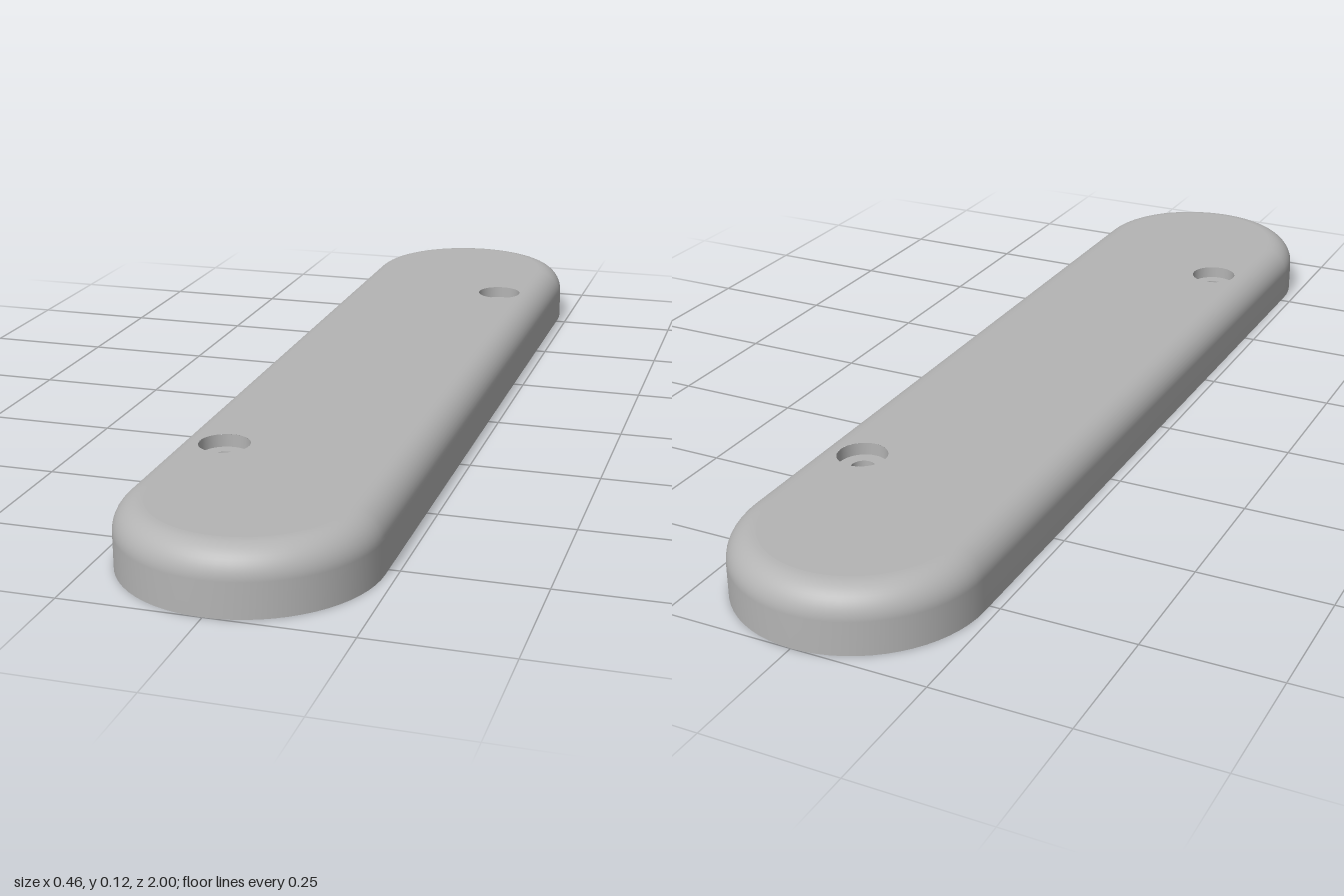
import * as THREE from 'three';
import { toCreasedNormals } from 'three/addons/utils/BufferGeometryUtils.js';

const R = 0.23, HALF = 0.77, TOP = 0.116;     // outer end radius, end centre, height
const FILLET = 0.053, INNER_R = 0.19, CEILING = 0.078, INNER_FILLET = 0.02;
const HOLE = { x: 0.128, z: -0.557, recessR: 0.047, boreR: 0.022, floorY: 0.092 };
const BOSS_Y = 0.04, BOSS_R = 0.06;
const N = 32;                                 // segments per rounded end

// Lathe a profile, then pull its two halves apart along z into a stadium
function stadiumSweep(profile) {
  const cols = 2 * N + 2;
  const geo = new THREE.LatheGeometry(profile, cols);
  const pos = geo.attributes.position, nor = geo.attributes.normal;
  const rows = profile.length;
  for (let i = 0; i <= cols; i++) {
    const phi = (i / cols) * Math.PI * 2;
    const k = i % cols, front = k <= N;
    const a = front ? -Math.PI / 2 + (Math.PI * k) / N : Math.PI / 2 + (Math.PI * (k - N - 1)) / N;
    for (let j = 0; j < rows; j++) {
      const v = i * rows + j, r = profile[j].x;
      const nr = nor.getX(v) * Math.sin(phi) + nor.getZ(v) * Math.cos(phi);
      pos.setXYZ(v, r * Math.sin(a), profile[j].y, r * Math.cos(a) + (front ? HALF : -HALF));
      nor.setXYZ(v, nr * Math.sin(a), nor.getY(v), nr * Math.cos(a));
    }
  }
  return geo;
}

// Flat stadium outline with a round hole for each screw; flip = -1 when shape y means -z
function stadiumShape(r, holeR, flip) {
  const shape = new THREE.Shape();
  shape.absarc(0, HALF, r, 0, Math.PI, false);
  shape.absarc(0, -HALF, r, Math.PI, 2 * Math.PI, false);
  for (const s of [1, -1]) {
    const hole = new THREE.Path();
    hole.absarc(s * HOLE.x, s * HOLE.z * flip, holeR, 0, 2 * Math.PI, true);
    shape.holes.push(hole);
  }
  return shape;
}

// Quarter round from angle a0 to a1 about (cx, cy)
function arc(cx, cy, r, a0, a1, n = 12) {
  return Array.from({ length: n + 1 }, (_, i) => {
    const a = a0 + ((a1 - a0) * i) / n;
    return new THREE.Vector2(cx + r * Math.cos(a), cy + r * Math.sin(a));
  });
}

// Lug hanging from the ceiling and running into the side wall
function lugGeometry(shape) {
  const geo = new THREE.ExtrudeGeometry(shape, { depth: CEILING + 0.004 - BOSS_Y, bevelEnabled: false, curveSegments: 24 });
  geo.rotateX(Math.PI / 2);
  geo.translate(0, CEILING + 0.004, 0);
  return toCreasedNormals(geo, 0.6);
}

export function createModel() {
  const model = new THREE.Group();
  const grey = new THREE.MeshStandardMaterial({ color: 0xb4b4b4 });
  grey.name = 'plainGrey';
  const v = (x, y) => new THREE.Vector2(x, y);
  const add = (parent, name, geo) => {
    const mesh = new THREE.Mesh(geo, grey);
    mesh.name = name;
    parent.add(mesh);
    return mesh;
  };

  // Cover shell
  add(model, 'outerWall', stadiumSweep([v(R, 0), ...arc(R - FILLET, TOP - FILLET, FILLET, 0, Math.PI / 2)]));
  add(model, 'bottomRim', stadiumSweep([v(INNER_R, 0), v(R, 0)]));
  add(model, 'innerWall', stadiumSweep([
    ...arc(INNER_R - INNER_FILLET, CEILING - INNER_FILLET, INNER_FILLET, Math.PI / 2, 0, 8), v(INNER_R, 0)]));
  const top = add(model, 'topFace',
    new THREE.ShapeGeometry(stadiumShape(R - FILLET, HOLE.recessR, -1), N).rotateX(-Math.PI / 2));
  top.position.y = TOP;
  const ceiling = add(model, 'ceiling',
    new THREE.ShapeGeometry(stadiumShape(INNER_R - INNER_FILLET, HOLE.boreR, 1), N).rotateX(Math.PI / 2));
  ceiling.position.y = CEILING;

  // Screw boss: rounded towards the middle, straight sides into the wall
  const bossShape = new THREE.Shape();
  bossShape.moveTo(0.2, HOLE.z + BOSS_R);
  bossShape.absarc(HOLE.x, HOLE.z, BOSS_R, Math.PI / 2, 1.5 * Math.PI, false);
  bossShape.lineTo(0.2, HOLE.z - BOSS_R);
  const bossHole = new THREE.Path();
  bossHole.absarc(HOLE.x, HOLE.z, HOLE.boreR, 0, 2 * Math.PI, true);
  bossShape.holes.push(bossHole);
  const bossGeo = lugGeometry(bossShape);

  // Half-round tab on the opposite wall
  const tabShape = new THREE.Shape();
  tabShape.absarc(-INNER_R - 0.004, HOLE.z, BOSS_R, -Math.PI / 2, Math.PI / 2, false);
  const tabGeo = lugGeometry(tabShape);

  // Counterbored hole
  const { recessR, boreR, floorY } = HOLE;
  const holeParts = {
    recessWall: [v(recessR, TOP), v(recessR, floorY)],
    recessFloor: [v(recessR, floorY), v(boreR, floorY)],
    bore: [v(boreR, floorY), v(boreR, BOSS_Y)],
  };

  // The two ends match by a half turn
  for (const [name, turn] of [['backFixing', 0], ['frontFixing', Math.PI]]) {
    const fixing = new THREE.Group();
    fixing.name = name;
    fixing.rotation.y = turn;
    add(fixing, 'screwBoss', bossGeo);
    add(fixing, 'wallTab', tabGeo);
    for (const [part, profile] of Object.entries(holeParts)) {
      add(fixing, part, new THREE.LatheGeometry(profile, 32)).position.set(HOLE.x, 0, HOLE.z);
    }
    model.add(fixing);
  }
  return model;
}
